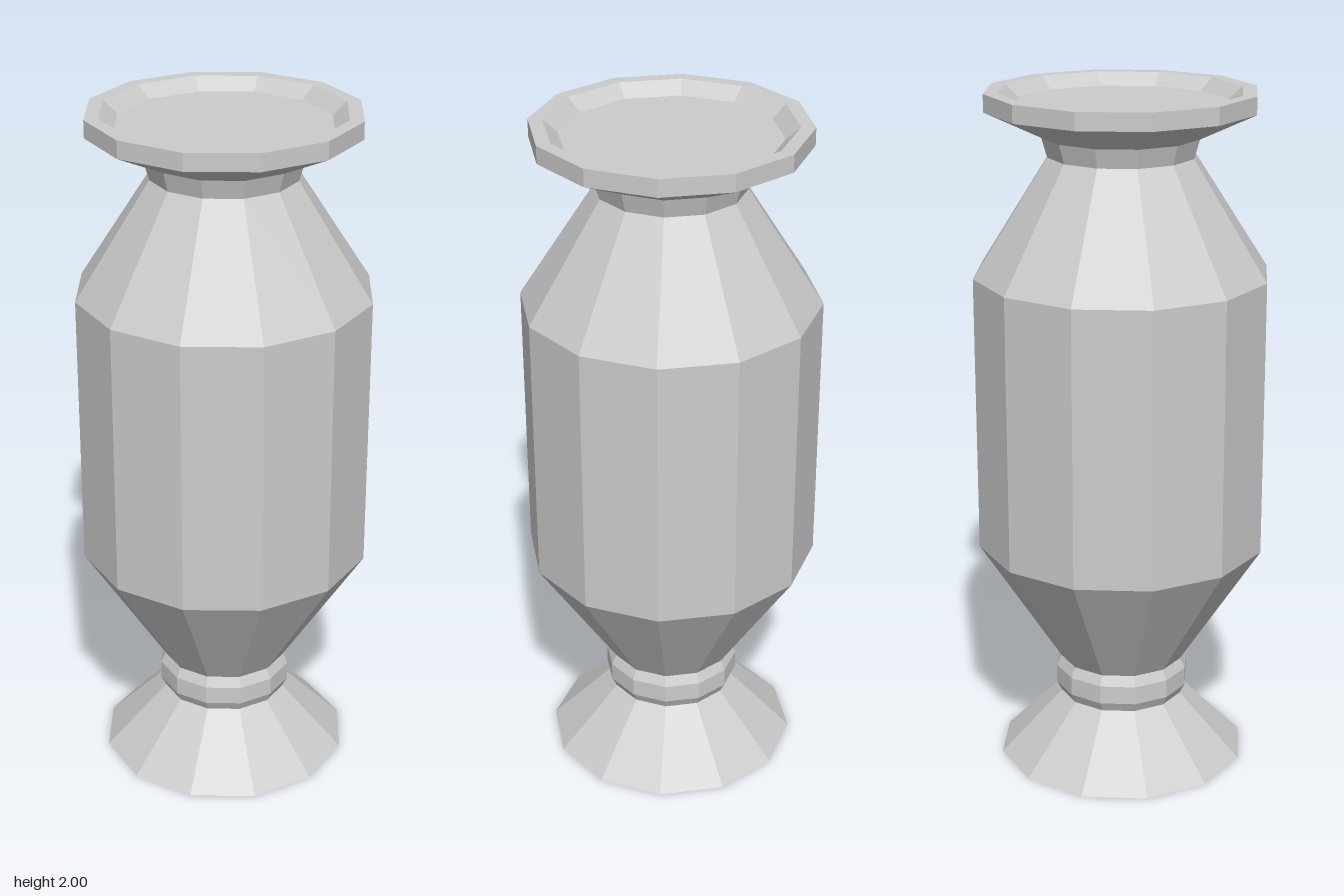
import * as THREE from 'three';

const SIDES = 12;

export function createModel() {
  const stone = new THREE.MeshStandardMaterial({ color: 0xcccccc, side: THREE.DoubleSide, flatShading: true });
  stone.name = 'greyStone';

  const vase = new THREE.Group();
  vase.name = 'vase';

  // Turns a profile of [radius, height] pairs, bottom to top, into a faceted part
  const turned = (name, profile) => {
    const points = profile.map(([r, y]) => new THREE.Vector2(r, y));
    const mesh = new THREE.Mesh(new THREE.LatheGeometry(points, SIDES), stone);
    mesh.name = name;
    vase.add(mesh);
  };

  // Hollow flared foot, open underneath
  turned('foot', [[0.37, 0], [0.185, 0.19]]);

  // Rounded collar between foot and body
  turned('collar', [[0.185, 0.19], [0.2, 0.22], [0.2, 0.275], [0.185, 0.305]]);

  // Straight-sided body with tapered ends
  turned('body', [[0.185, 0.305], [0.425, 0.68], [0.425, 1.485], [0.21, 1.82]]);

  // Short neck, slightly flared
  turned('neck', [[0.21, 1.82], [0.226, 1.875]]);

  // Wide dish-shaped mouth with a rim and a shallow floor
  turned('mouth', [[0.226, 1.875], [0.385, 1.95], [0.385, 2], [0.345, 2], [0.305, 1.965]]);

  // Floor of the mouth
  const floor = new THREE.Mesh(new THREE.CircleGeometry(0.305, SIDES), stone);
  floor.name = 'mouthFloor';
  floor.rotation.x = -Math.PI / 2;
  floor.position.y = 1.965;
  vase.add(floor);

  return vase;
}
